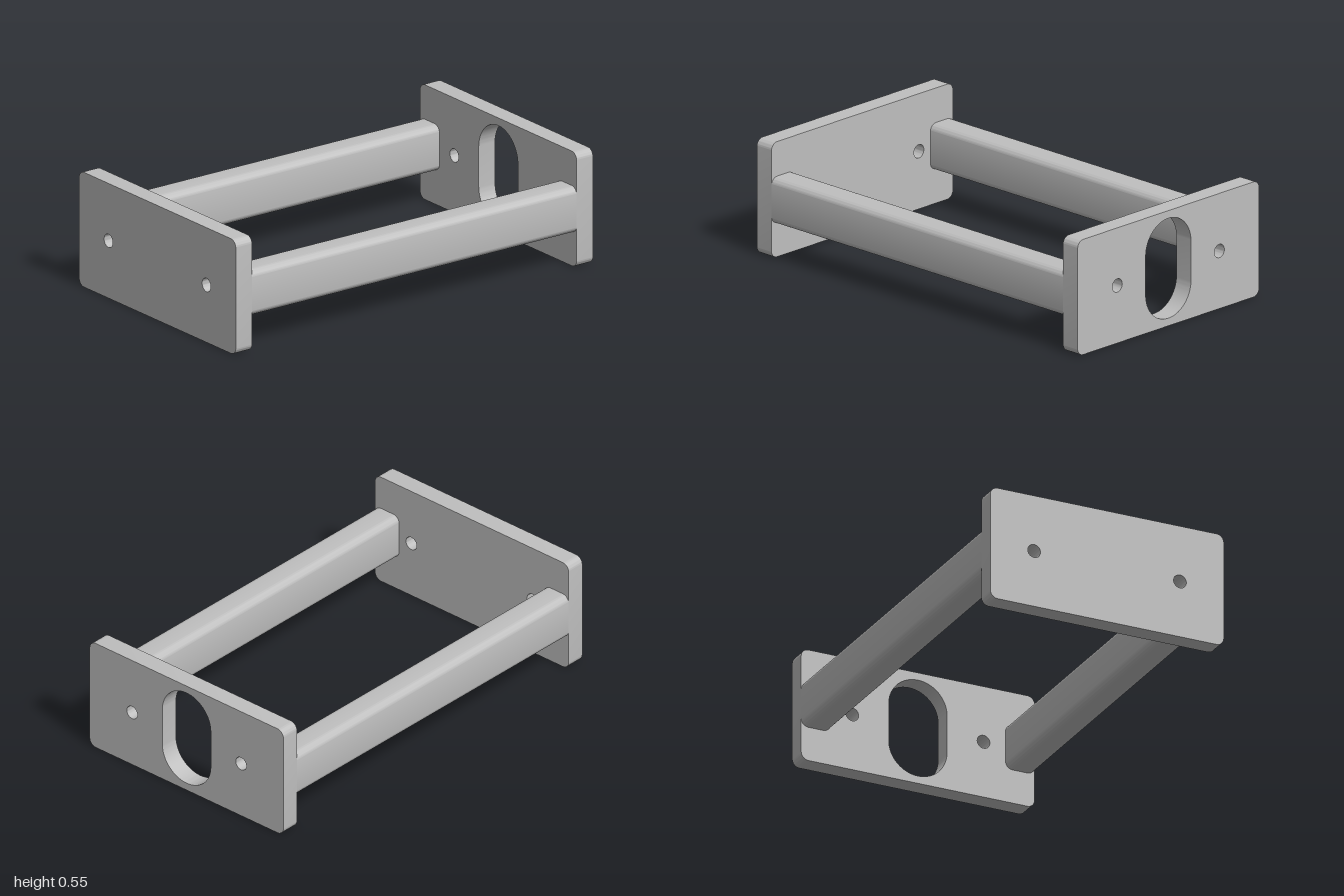
import * as THREE from 'three';
import { toCreasedNormals } from 'three/addons/utils/BufferGeometryUtils.js';

const U = 1 / 11; // design unit: the frame is 22 units long
const MID_Y = 3 * U;

// Rounded rectangle centred on (0, 0), drawn on a Shape or Path
function roundedRect(path, width, height, r) {
  const x = width / 2 - r, y = height / 2 - r;
  path.absarc(x, y, r, 0, Math.PI / 2);
  path.absarc(-x, y, r, Math.PI / 2, Math.PI);
  path.absarc(-x, -y, r, Math.PI, Math.PI * 1.5);
  path.absarc(x, -y, r, Math.PI * 1.5, Math.PI * 2);
  path.closePath();
  return path;
}

// Extrude a z-y profile along x, centred on the origin
function extrudeAlongX(shape, length) {
  const geo = new THREE.ExtrudeGeometry(shape, { depth: length, bevelEnabled: false, curveSegments: 16 });
  geo.translate(0, 0, -length / 2).rotateY(Math.PI / 2);
  return toCreasedNormals(geo, 0.5);
}

// End plate with two screw holes and an optional slot
function plateGeometry(holeZ, withSlot) {
  const shape = roundedRect(new THREE.Shape(), 12.8 * U, 6 * U, 0.4 * U);
  for (const side of [-1, 1]) {
    shape.holes.push(new THREE.Path().absarc(side * holeZ, 0, 0.35 * U, 0, Math.PI * 2, true));
  }
  if (withSlot) shape.holes.push(roundedRect(new THREE.Path(), 3.2 * U, 5.2 * U, 1.6 * U));
  return extrudeAlongX(shape, U);
}

export function createModel() {
  const group = new THREE.Group();
  group.name = 'frame';
  const grey = new THREE.MeshStandardMaterial({ color: 0xbfbfbf });
  grey.name = 'grey';

  const add = (name, geometry, x, z) => {
    const mesh = new THREE.Mesh(geometry, grey);
    mesh.name = name;
    mesh.position.set(x, MID_Y, z);
    group.add(mesh);
  };

  // End plates
  add('slottedEndPlate', plateGeometry(3.6 * U, true), 10.5 * U, 0);
  add('plainEndPlate', plateGeometry(4 * U, false), -10.5 * U, 0);

  // Rails joining the plates
  const rail = extrudeAlongX(roundedRect(new THREE.Shape(), 1.6 * U, 2.4 * U, 0.4 * U), 20 * U);
  add('frontRail', rail, 0, 5.6 * U);
  add('backRail', rail, 0, -5.6 * U);

  return group;
}
